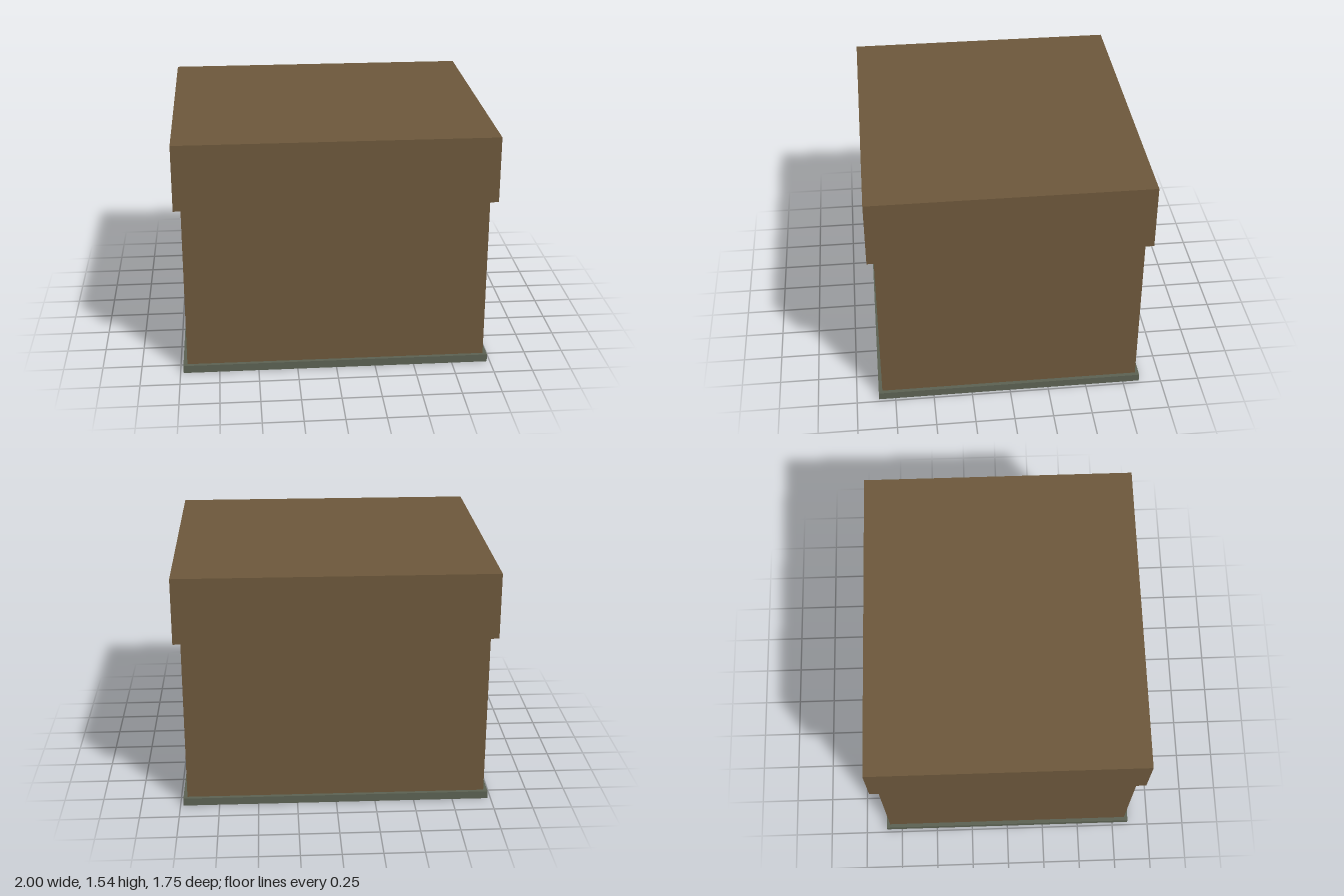
import * as THREE from 'three';

const FACE = { top: 2, bottom: 3 }; // BoxGeometry face order

// Thin-walled box from y0 to y1, without the listed faces
function shell(name, width, depth, y0, y1, material, open) {
  const geometry = new THREE.BoxGeometry(width, y1 - y0, depth);
  const index = Array.from(geometry.index.array);
  geometry.setIndex(index.filter((_, i) => !open.includes(Math.floor(i / 6))));
  geometry.clearGroups();
  const mesh = new THREE.Mesh(geometry, material);
  mesh.name = name;
  mesh.position.y = (y0 + y1) / 2;
  return mesh;
}

export function createModel() {
  const cardboard = new THREE.MeshStandardMaterial({ color: 0x6c573b, side: THREE.DoubleSide });
  cardboard.name = 'brown cardboard';
  const greyGreen = new THREE.MeshStandardMaterial({ color: 0x5b6152, side: THREE.DoubleSide });
  greyGreen.name = 'grey green';

  const box = new THREE.Group();
  box.name = 'liddedBox';
  box.add(
    // Shallow tray, hollow underneath; its top is the floor of the box
    shell('base', 1.96, 1.714, 0, 0.05, greyGreen, [FACE.bottom]),
    // Four walls, open at the top
    shell('body', 1.91, 1.666, 0.05, 1.105, cardboard, [FACE.top, FACE.bottom]),
    // Overhanging lid, hollow underneath, raised just clear of the walls
    shell('lid', 2, 1.752, 1.12, 1.54, cardboard, [FACE.bottom])
  );
  return box;
}
